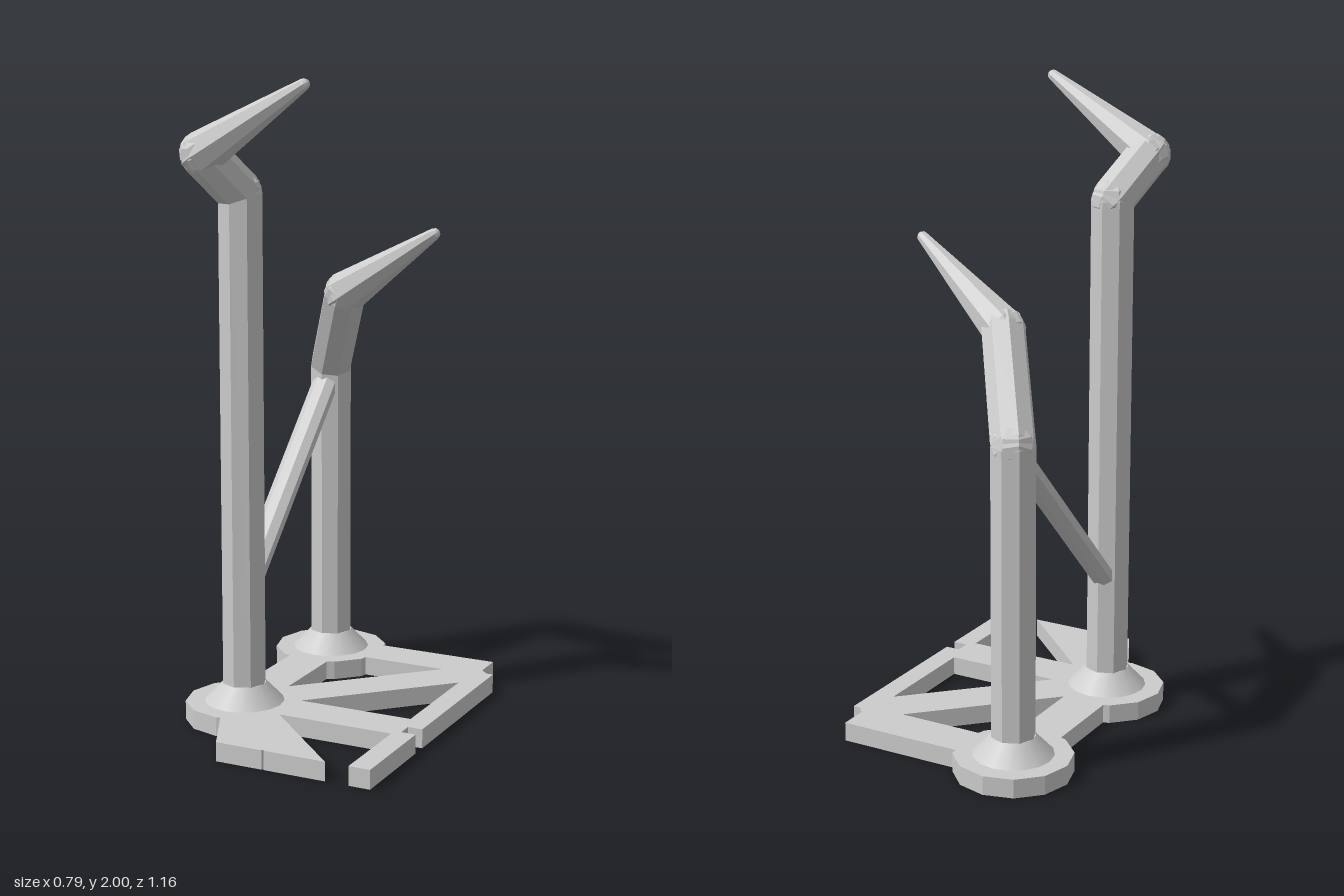
import * as THREE from 'three';

const V = (x, y, z) => new THREE.Vector3(x, y, z);
const UP = V(0, 1, 0);

// Faceted, tapering rod with domed ends, standing on its first centre
function rodGeometry(length, r0, r1) {
  const profile = [];
  for (let d = -90; d <= 0; d += 30) {
    const a = THREE.MathUtils.degToRad(d);
    profile.push(new THREE.Vector2(r0 * Math.cos(a), r0 * Math.sin(a)));
  }
  for (let d = 0; d <= 90; d += 30) {
    const a = THREE.MathUtils.degToRad(d);
    profile.push(new THREE.Vector2(r1 * Math.cos(a), length + r1 * Math.sin(a)));
  }
  const geo = new THREE.LatheGeometry(profile, 8).toNonIndexed();
  geo.computeVertexNormals();
  return geo;
}

export function createModel() {
  const group = new THREE.Group();
  const grey = new THREE.MeshStandardMaterial({ color: 0xcccccc });
  grey.name = 'light grey';
  const add = (name, geometry, parent = group) => {
    const mesh = new THREE.Mesh(geometry, grey);
    mesh.name = name;
    parent.add(mesh);
    return mesh;
  };

  const X = -0.212, BACK = -0.4, FRONT = 0.21, PLATE = 0.06;

  // Twelve-sided round pads, as runs of outline corners [x, z]
  const pad = (z, from, to) => {
    const out = [];
    for (let d = from; d <= to; d += 30) {
      const a = THREE.MathUtils.degToRad(d);
      out.push([X + 0.184 * Math.cos(a), z + 0.184 * Math.sin(a)]);
    }
    return out;
  };

  // Base plate with notched frame, splayed foot and two triangular openings
  // (outline and openings run in opposite directions)
  const toPoints = list => list.map(([x, z]) => new THREE.Vector2(x, -z));
  const outline = new THREE.Shape(toPoints([
    [-0.285, -0.235], ...pad(BACK, 120, 330), [-0.05, -0.47],
    [0.349, -0.47], [0.349, -0.376], [0.374, -0.352], [0.396, -0.352],
    [0.396, 0.211], [0.349, 0.211], [0.349, 0.26], [0.396, 0.26],
    [0.396, 0.578], [0.327, 0.578], [0.327, 0.285], [-0.05, 0.285],
    [0.252, 0.578], [0.052, 0.578], [0.048, 0.572], [0.044, 0.578],
    [-0.108, 0.578], [-0.198, 0.391],
    ...pad(FRONT, 90, 240), [-0.285, 0.045],
  ]));
  outline.holes.push(
    new THREE.Path(toPoints([
      [-0.054, -0.309], [-0.121, -0.242], [-0.145, -0.23],
      [-0.145, 0.042], [0.228, -0.33], [-0.05, -0.33],
    ])),
    new THREE.Path(toPoints([[-0.048, 0.144], [0.327, 0.144], [0.327, -0.23]])),
  );
  const plate = new THREE.ExtrudeGeometry(outline, { depth: PLATE, bevelEnabled: false });
  plate.rotateX(-Math.PI / 2);
  add('basePlate', plate);

  // Conical collars at the pole feet
  for (const [name, z] of [['backCollar', BACK], ['frontCollar', FRONT]]) {
    add(name, new THREE.CylinderGeometry(0.068, 0.125, 0.06, 16))
      .position.set(X, PLATE + 0.03, z);
  }

  // Each pole: upright shaft, leaning neck and tapering arm, overlapping at domed joints
  const pole = (name, z, bendY, elbow, tip) => {
    const parts = new THREE.Group();
    parts.name = name;
    group.add(parts);
    const path = [V(X, 0.12, z), V(X, bendY, z), elbow, tip];
    const radii = [0.069, 0.069, 0.068, 0.018];
    ['shaft', 'neck', 'arm'].forEach((part, i) => {
      const span = path[i + 1].clone().sub(path[i]);
      const rod = add(part, rodGeometry(span.length(), radii[i], radii[i + 1]), parts);
      rod.position.copy(path[i]);
      rod.quaternion.setFromUnitVectors(UP, span.normalize());
    });
  };
  pole('frontPole', FRONT, 1.645, V(-0.27, 1.77, 0.336), V(0.097, 1.981, 0.396));
  pole('backPole', BACK, 1.025, V(-0.052, 1.303, -0.178), V(0.308, 1.522, -0.048));

  // Slanted brace between the poles, wider than it is deep
  const from = V(X, 0.41, 0.2), span = V(0, 0.59, -0.59);
  const brace = add('brace',
    new THREE.CylinderGeometry(1, 1, span.length(), 8, 1, false, Math.PI / 8)
      .scale(0.044, 1, 0.033).toNonIndexed());
  brace.geometry.computeVertexNormals();
  brace.position.copy(from).addScaledVector(span, 0.5);
  brace.quaternion.setFromUnitVectors(UP, span.normalize());

  return group;
}
